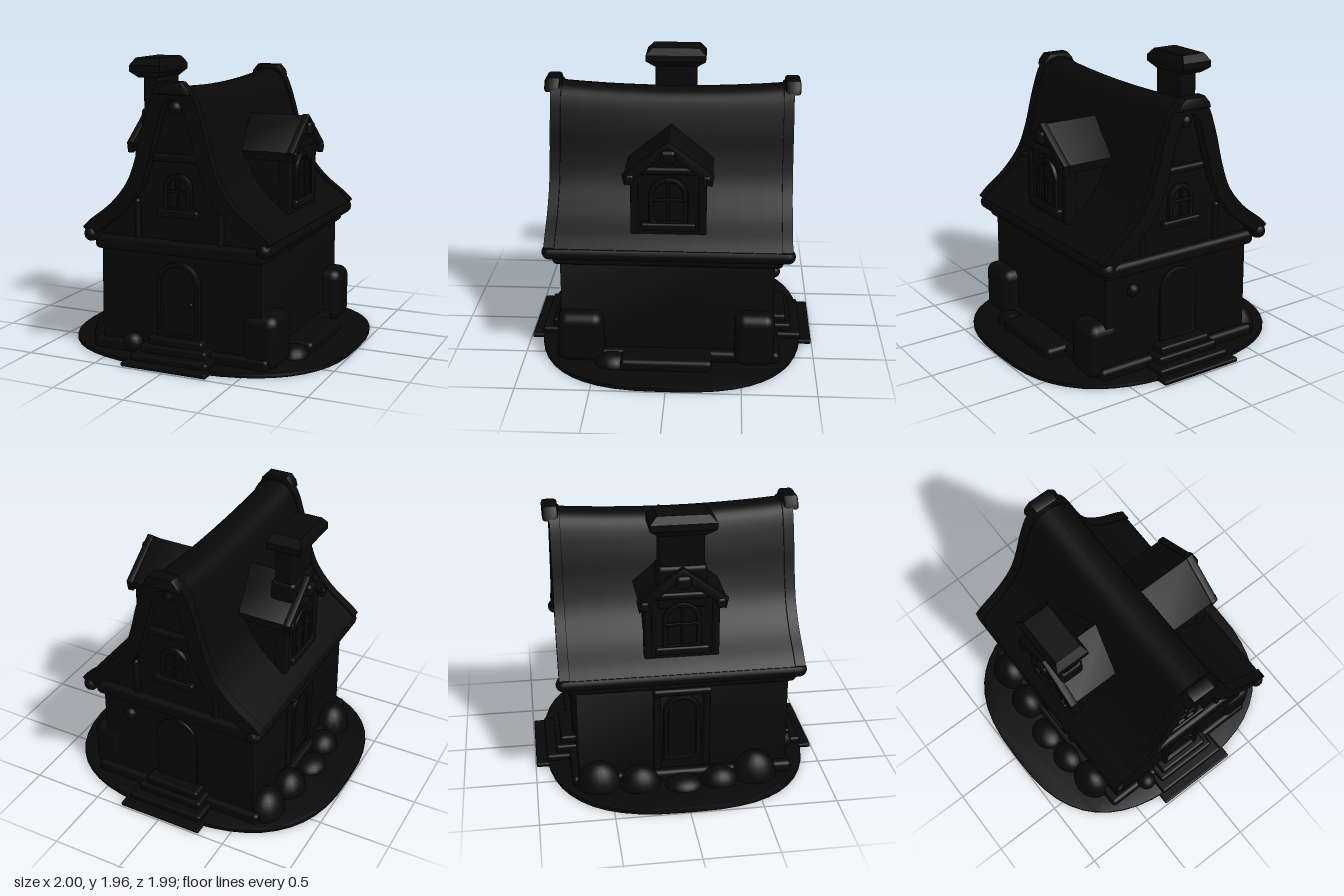
import * as THREE from 'three';
import { toCreasedNormals } from 'three/addons/utils/BufferGeometryUtils.js';
import { RoundedBoxGeometry } from 'three/addons/geometries/RoundedBoxGeometry.js';

const material = new THREE.MeshStandardMaterial({ color: 0x080808 });
const V = (x, y) => new THREE.Vector2(x, y);

function add(parent, name, geometry, x = 0, y = 0, z = 0) {
  const mesh = new THREE.Mesh(geometry, material);
  mesh.name = name;
  mesh.position.set(x, y, z);
  parent.add(mesh);
  return mesh;
}

// Rounded block given by its ranges on each axis
function block(parent, name, [x0, x1], [y0, y1], [z0, z1], r = 0.02) {
  const geo = new RoundedBoxGeometry(x1 - x0, y1 - y0, z1 - z0, 3, r);
  return add(parent, name, geo, (x0 + x1) / 2, (y0 + y1) / 2, (z0 + z1) / 2);
}

// Outline pushed along z from z0 to z1
function extrude(shape, z0, z1, steps = 1, bevel = 0) {
  const geo = new THREE.ExtrudeGeometry(shape, {
    depth: z1 - z0 - 2 * bevel, steps, curveSegments: 16, bevelEnabled: bevel > 0,
    bevelSize: bevel, bevelThickness: bevel, bevelSegments: 2, bevelOffset: -bevel,
  });
  geo.translate(0, 0, z0 + bevel);
  return geo;
}
const crease = (geo) => toCreasedNormals(geo, 0.7);

// Mirror a half outline (from the ridge down) into a full one, left to right
const mirrored = (half) => [...half.slice(1).reverse().map((p) => V(-p.x, p.y)), ...half];

// Flared roof line, one half, from ridge to eave
const roofLine = new THREE.SplineCurve([
  V(0, 1.815), V(0.08, 1.795), V(0.14, 1.73), V(0.2, 1.56), V(0.255, 1.36),
  V(0.325, 1.19), V(0.45, 1.04), V(0.6, 0.925), V(0.665, 0.865),
]).getPoints(32);

// Shift the roof line along its normals; negative goes inwards
function offsetRoof(d) {
  return roofLine.map((p, i) => {
    const a = roofLine[Math.max(i - 1, 0)], b = roofLine[Math.min(i + 1, 32)];
    const t = b.clone().sub(a).normalize();
    return i === 0 ? V(0, p.y + d) : V(Math.max(p.x - t.y * d, 0.004 * i), p.y + t.x * d);
  });
}
const roofShell = (outer, inner) =>
  new THREE.Shape([...mirrored(offsetRoof(outer)), ...mirrored(offsetRoof(inner)).reverse()]);

// Raise the ends of the roof so that the ridge sags in the middle
function sag(geo) {
  const p = geo.attributes.position;
  for (let i = 0; i < p.count; i++) {
    const high = Math.max(0, (p.getY(i) - 1.2) / 0.6);
    p.setY(i, p.getY(i) + high * (0.035 * (p.getZ(i) / 0.8) ** 2 - 0.015));
  }
  return crease(geo);
}

function archShape(w, h, path = new THREE.Shape(), y = 0) {
  path.moveTo(-w, y).lineTo(w, y).lineTo(w, h - w);
  path.absarc(0, h - w, w, 0, Math.PI, false);
  path.lineTo(-w, y);
  return path;
}

// Arched opening facing +z: frame, panel, bars and sill
function archedOpening(parent, name, w, h, depth, bars) {
  const g = new THREE.Group();
  g.name = name;
  const frame = archShape(w, h);
  frame.holes.push(archShape(w - 0.035, h - 0.035, new THREE.Path(), 0.03));
  add(g, name + 'Frame', crease(extrude(frame, -0.04, depth, 1, 0.01)));
  add(g, name + 'Panel', crease(extrude(archShape(w - 0.02, h - 0.02), -0.04, 0.012)));
  if (bars) {
    block(g, 'windowBarUpright', [-0.01, 0.01], [0.02, h - 0.02], [0, 0.028], 0.005);
    block(g, 'windowBarCross', [-w + 0.02, w - 0.02], [h * 0.5, h * 0.5 + 0.02], [0, 0.028], 0.005);
    block(g, 'windowSill', [-w - 0.05, w + 0.05], [-0.04, 0.015], [-0.04, depth + 0.015], 0.015);
  }
  parent.add(g);
  return g;
}

// Dormer facing +z, placed on a roof slope by turning it
function dormer() {
  const g = new THREE.Group();
  g.name = 'dormer';
  const body = new THREE.Shape([V(-0.24, 0.9), V(0.24, 0.9), V(0.24, 1.38), V(0, 1.55), V(-0.24, 1.38)]);
  add(g, 'dormerWalls', crease(extrude(body, 0.1, 0.57)));
  const chevron = (top, drop, w) => {
    const eave = top - 0.75 * w;
    return new THREE.Shape([V(-w, eave), V(0, top), V(w, eave), V(w - 0.015, eave - drop),
      V(0, top - drop), V(-w + 0.015, eave - drop)]);
  };
  add(g, 'dormerRoof', crease(extrude(chevron(1.59, 0.06, 0.29), 0.05, 0.6, 1, 0.01)));
  add(g, 'dormerBargeboard', crease(extrude(chevron(1.6, 0.075, 0.3), 0.57, 0.625, 1, 0.012)));
  block(g, 'dormerPeakBlock', [-0.05, 0.05], [1.46, 1.55], [0.5, 0.65], 0.025);
  block(g, 'dormerBeam', [-0.24, 0.24], [1.37, 1.42], [0.5, 0.6]);
  for (const s of [-1, 1]) {
    block(g, 'dormerPost', [s * 0.225 - 0.025, s * 0.225 + 0.025], [0.95, 1.39], [0.5, 0.585], 0.012);
    block(g, 'dormerBracket', [s * 0.25 - 0.03, s * 0.25 + 0.03], [1.31, 1.38], [0.5, 0.635]);
  }
  archedOpening(g, 'dormerWindow', 0.13, 0.33, 0.025, true).position.set(0, 1.02, 0.57);
  return g;
}

// Boulder resting on the ground, a half ellipsoid
function boulder(parent, name, x, z, rx, ry, rz) {
  const geo = new THREE.SphereGeometry(1, 16, 8, 0, Math.PI * 2, 0, Math.PI / 2);
  add(parent, name, geo, x, 0.015, z).scale.set(rx, ry, rz);
}

export function createModel() {
  const house = new THREE.Group();
  house.name = 'cottage';

  // Ground slab with an apron at both doors
  const rim = [];
  const pow = (v) => Math.sign(v) * Math.abs(v) ** 0.74;
  for (let i = 0; i < 48; i++) {
    const a = (i / 48) * Math.PI * 2;
    rim.push(V(pow(Math.cos(a)), 0.925 * pow(Math.sin(a))));
  }
  const ground = extrude(new THREE.Shape(rim), 0, 0.03, 1, 0.006).rotateX(-Math.PI / 2);
  add(house, 'ground', crease(ground));
  block(house, 'apron', [-0.31, 0.305], [0, 0.03], [-0.995, 0.99], 0.01);
  block(house, 'plinth', [-0.64, 0.64], [0.01, 0.1], [-0.76, 0.77], 0.03);
  for (const s of [-1, 1]) {
    const steps = [[0.28, 0.07, 0.92], [0.24, 0.12, 0.85], [0.2, 0.17, 0.815]];
    for (const [w, h, z] of steps) {
      block(house, 'step', [-w, w], [0.005, h], s > 0 ? [0.6, z] : [-z, -0.6], 0.018);
    }
  }

  // Walls and gables in one solid
  const inner = offsetRoof(-0.03).filter((p) => p.x < 0.56);
  const wallOutline = mirrored([...inner, V(0.575, 0.88), V(0.585, 0)]);
  add(house, 'walls', crease(extrude(new THREE.Shape(wallOutline), -0.71, 0.73)));
  block(house, 'eaveBeam', [-0.615, 0.615], [0.72, 0.82], [-0.765, 0.78], 0.035);

  // Roof, bargeboards, eaves and ridge
  add(house, 'roof', sag(extrude(roofShell(0, -0.06), -0.79, 0.79, 10)));
  for (const [z0, z1] of [[0.75, 0.82], [-0.82, -0.75]]) {
    add(house, 'bargeboard', sag(extrude(roofShell(0.012, -0.085), z0, z1)));
  }
  for (const s of [-1, 1]) {
    const eave = new THREE.CapsuleGeometry(0.052, 1.58, 4, 12).rotateX(Math.PI / 2);
    add(house, 'eaveRoll', eave, s * 0.622, 0.825, 0);
    const cap = new THREE.Shape([V(-0.13, 1.78), V(0.13, 1.78), V(0.12, 1.82), V(0.08, 1.865),
      V(-0.08, 1.865), V(-0.12, 1.82)]);
    add(house, 'ridgeEnd', crease(extrude(cap, s > 0 ? 0.76 : -0.865, s > 0 ? 0.865 : -0.76, 1, 0.02)));
    // Gable trim: tie beam, window, posts, boss and door
    const gable = new THREE.Group();
    gable.name = 'gableTrim';
    gable.rotation.y = s > 0 ? 0 : Math.PI;
    gable.position.z = s > 0 ? 0.73 : -0.71;
    block(gable, 'tieBeam', [-0.21, 0.21], [1.34, 1.39], [-0.03, 0.04]);
    archedOpening(gable, 'gableWindow', 0.1, 0.25, 0.03, true).position.y = 1.015;
    add(gable, 'gableBoss', new THREE.SphereGeometry(0.045, 16, 10), 0, 1.69, 0.04);
    for (const t of [-1, 1]) block(gable, 'gablePost', [t * 0.3 - 0.02, t * 0.3 + 0.02], [0.8, 1.08], [-0.03, 0.03]);
    archedOpening(gable, 'door', 0.155, 0.52, s > 0 ? 0.04 : 0.015, false).position.y = 0.16;
    house.add(gable);

    const d = dormer();
    d.rotation.y = s * Math.PI / 2;
    house.add(d);
  }
  add(house, 'doorKnob', new THREE.SphereGeometry(0.015, 10, 8), 0.09, 0.4, 0.75);
  add(house, 'wallLantern', new THREE.SphereGeometry(0.045, 14, 10), 0.37, 0.6, -0.71);

  // Chimney with a flared square cap
  const chimney = new THREE.Group();
  chimney.name = 'chimney';
  block(chimney, 'chimneyShaft', [-0.57, -0.43], [1.2, 1.88], [-0.15, 0.15], 0.025);
  block(chimney, 'chimneyFoot', [-0.585, -0.41], [1.3, 1.6], [-0.165, 0.165], 0.03);
  const capGeo = new THREE.LatheGeometry(
    [V(0, -0.08), V(0.7, -0.08), V(1, -0.035), V(1, 0.01), V(0.78, 0.06), V(0, 0.06)], 4, Math.PI / 4);
  capGeo.scale(0.12 * Math.SQRT2, 1, 0.215 * Math.SQRT2);
  add(chimney, 'chimneyCap', toCreasedNormals(capGeo, 0.3), -0.52, 1.895, 0);
  house.add(chimney);

  // Window with posts and lintel on the right wall
  const side = archedOpening(house, 'sideWindow', 0.13, 0.5, 0.03, false);
  side.rotation.y = -Math.PI / 2;
  side.position.set(-0.58, 0.17, 0);
  block(house, 'sideLintel', [-0.635, -0.55], [0.68, 0.73], [-0.2, 0.2]);
  for (const z of [-0.17, 0.17]) block(house, 'sidePost', [-0.605, -0.55], [0.1, 0.7], [z - 0.025, z + 0.025], 0.015);

  // Blocks and stones around the walls
  block(house, 'cornerBlockFront', [0.44, 0.69], [0.02, 0.38], [0.44, 0.755], 0.07);
  block(house, 'cornerBlockBack', [0.46, 0.7], [0.02, 0.4], [-0.72, -0.45], 0.07);
  block(house, 'sideBench', [0.56, 0.78], [0.01, 0.1], [-0.3, 0.32], 0.03);
  add(house, 'frontStone', new THREE.SphereGeometry(0.07, 16, 10), -0.33, 0.1, 0.77);
  for (const [x, z, r, h] of [[-0.64, 0.5, 0.13, 0.2], [-0.68, 0.25, 0.11, 0.12], [-0.7, 0, 0.11, 0.08],
    [-0.66, -0.3, 0.12, 0.16], [-0.62, -0.58, 0.13, 0.19], [0.68, 0.38, 0.1, 0.09]]) {
    boulder(house, 'sideStone', x, z, r, h, r * 1.2);
  }
  return house;
}
